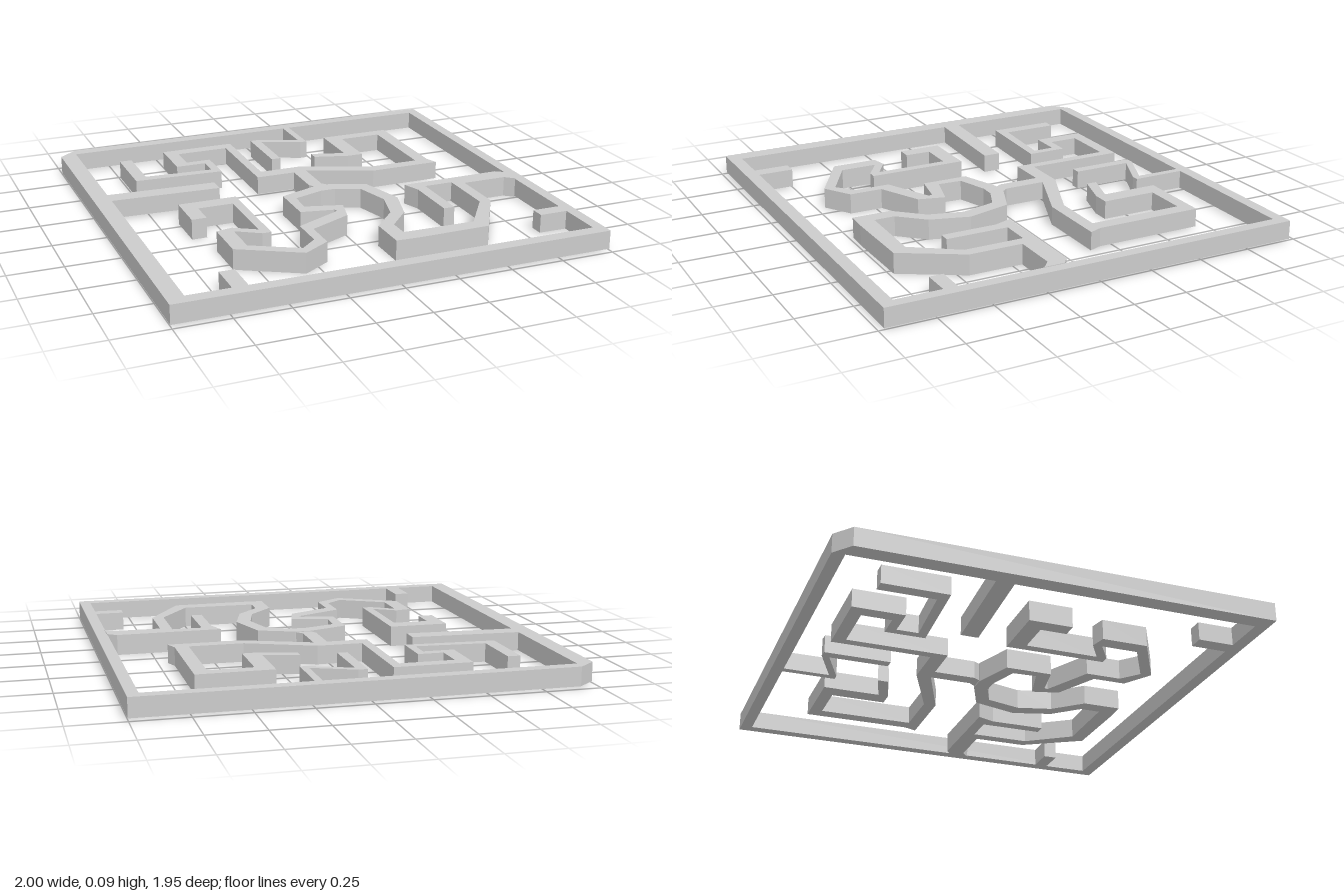
import * as THREE from 'three';

const material = new THREE.MeshStandardMaterial({ color: 0xcccccc, flatShading: true });

// Plan outlines are [x, z] pairs; plan z becomes -y in the 2D shape.
const toPoints = (plan) => plan.map(([x, z]) => new THREE.Vector2(x, -z));

// Raise a plan outline into a wall standing between two heights.
function wall(name, plan, bottom, top, hole) {
  const shape = new THREE.Shape(toPoints(plan));
  // A hole winds opposite to the outline so its inner faces point inwards
  if (hole) shape.holes.push(new THREE.Path(toPoints(hole).reverse()));
  const geometry = new THREE.ExtrudeGeometry(shape, { depth: top - bottom, bevelEnabled: false });
  geometry.rotateX(-Math.PI / 2).translate(0, bottom, 0);
  const mesh = new THREE.Mesh(geometry, material);
  mesh.name = name;
  return mesh;
}

const rect = (x0, z0, x1, z1) => [[x0, z0], [x1, z0], [x1, z1], [x0, z1]];

export function createModel() {
  const maze = new THREE.Group();
  maze.name = 'maze';
  const low = 0.006, high = 0.092;

  // Border with one chamfered corner
  maze.add(wall('outerFrame',
    [[-1, -0.908], [-0.918, -0.975], [1, -0.975], [1, 0.975], [-1, 0.975]],
    low, high, rect(-0.922, -0.92, 0.948, 0.915)));

  // Short walls growing from the border
  maze.add(wall('leftBar', [[-0.925, -0.287], [-0.407, -0.262], [-0.407, -0.18], [-0.925, -0.205]], low, high));
  maze.add(wall('frontStub', rect(-0.725, 0.748, -0.655, 0.917), low, high));
  maze.add(wall('sideStub', rect(0.815, 0.634, 0.95, 0.699), low, high));
  maze.add(wall('backZigzag', [
    [0.2, -0.922], [0.233, -0.922], [0.233, -0.67], [0.2, -0.67], [0.013, -0.75],
    [0.013, -0.473], [-0.033, -0.473], [-0.033, -0.785], [0.008, -0.787], [0.2, -0.705],
  ], low, high));

  // Angular walls winding through the back half, joined to the centre
  maze.add(wall('backWindingWall', [
    [-0.746, -0.725], [-0.687, -0.725], [-0.687, -0.463], [-0.361, -0.442], [-0.361, -0.543],
    [-0.505, -0.543], [-0.505, -0.784], [-0.147, -0.784], [-0.147, -0.319], [0.062, -0.319],
    [0.372, -0.185], [0.623, -0.185], [0.623, -0.634], [0.42, -0.634], [0.42, -0.377],
    [0.34, -0.377], [0.179, -0.425], [0.179, -0.474], [0.34, -0.425], [0.34, -0.693],
    [0.687, -0.693], [0.687, -0.185], [0.709, -0.126], [0.367, -0.126], [0.062, -0.249],
    [0.062, -0.055], [0.089, -0.02], [0.019, -0.02], [-0.002, -0.055], [-0.002, -0.249],
    [-0.19, -0.249], [-0.19, -0.725], [-0.441, -0.725], [-0.441, -0.586], [-0.323, -0.586],
    [-0.323, -0.399], [-0.746, -0.42],
  ], low, high));

  // Curving walls of the front half, from the left hook round to the border
  maze.add(wall('frontWindingWall', [
    [-0.655, -0.035], [-0.377, -0.035], [-0.377, 0.435], [-0.419, 0.435], [-0.526, 0.366],
    [-0.526, 0.537], [-0.318, 0.655], [-0.238, 0.585], [-0.238, 0.419], [-0.013, 0.312],
    [-0.018, 0.294], [-0.173, 0.264], [-0.173, 0.045], [0.014, -0.024], [0.089, -0.024],
    [0.254, 0.045], [0.313, 0.259], [0.26, 0.441], [0.153, 0.558], [0.153, 0.655],
    [0.495, 0.659], [0.639, 0.452], [0.639, 0.173], [0.5, 0.173], [0.5, 0.468],
    [0.447, 0.468], [0.447, 0.205], [0.417, 0.12], [0.907, 0.115], [0.95, 0.147],
    [0.95, 0.243], [0.907, 0.205], [0.693, 0.205], [0.693, 0.457], [0.532, 0.73],
    [0.185, 0.735], [0.083, 0.73], [0.083, 0.548], [0.201, 0.419], [0.244, 0.259],
    [0.201, 0.093], [0.089, 0.045], [0.019, 0.045], [-0.125, 0.093], [-0.131, 0.205],
    [0.04, 0.254], [0.008, 0.377], [-0.195, 0.473], [-0.195, 0.628], [-0.323, 0.708],
    [-0.596, 0.553], [-0.596, 0.339], [-0.521, 0.323], [-0.419, 0.387], [-0.419, 0.045],
    [-0.585, 0.045], [-0.585, 0.168], [-0.655, 0.168],
  ], 0, 0.095));

  return maze;
}
